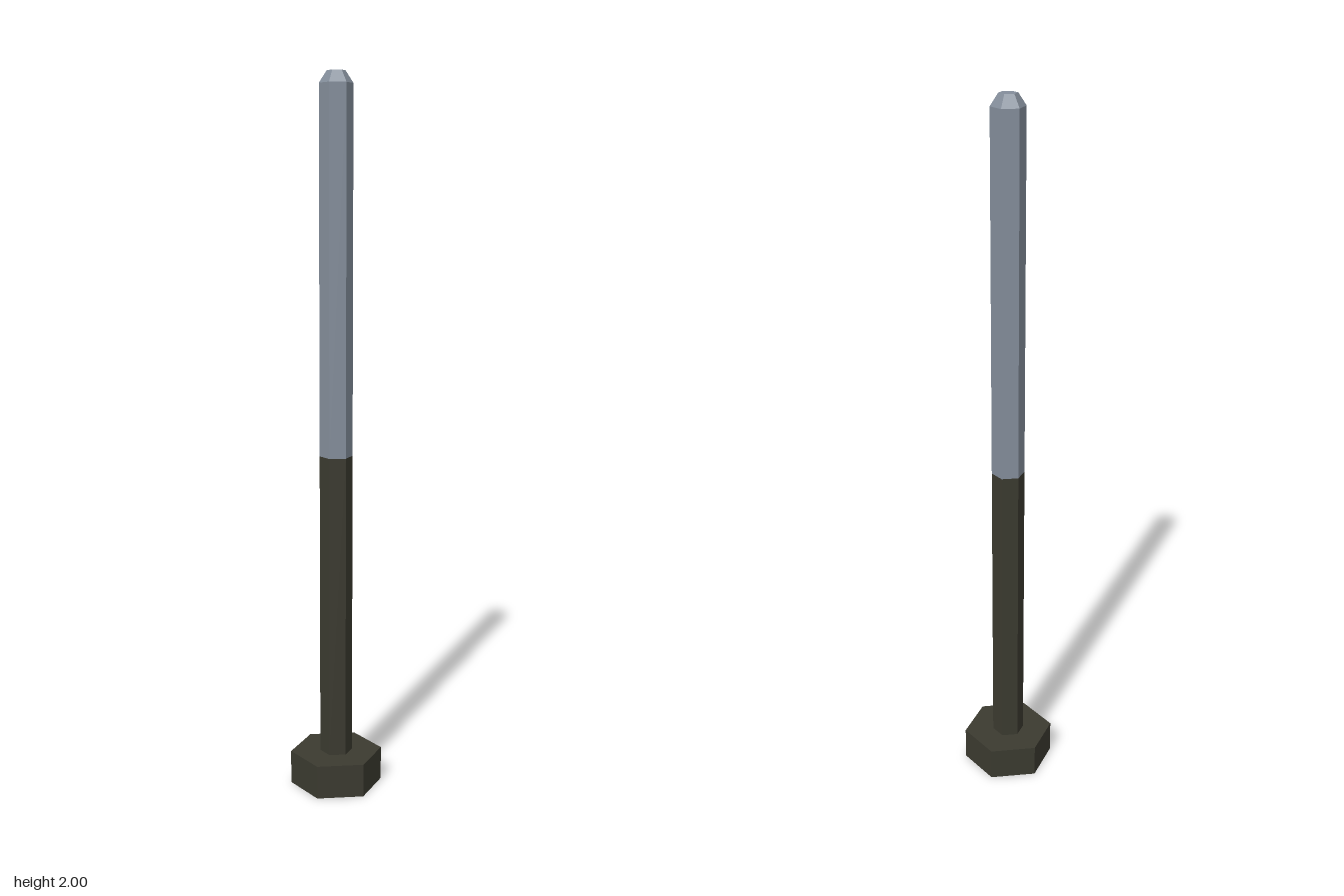
import * as THREE from 'three';

export function createModel() {
  const model = new THREE.Group();
  const darkCoating = new THREE.MeshStandardMaterial({ color: 0x3b3a30 });
  darkCoating.name = 'darkCoating';
  const blueSteel = new THREE.MeshStandardMaterial({ color: 0x848e9b });
  blueSteel.name = 'blueSteel';
  darkCoating.flatShading = blueSteel.flatShading = true;

  // Hexagonal prism between two heights, with corners on the x axis
  function hexPart(name, bottomRadius, topRadius, y0, y1, material, open = false) {
    const geometry = new THREE.CylinderGeometry(topRadius, bottomRadius, y1 - y0, 6, 1, open, Math.PI / 6);
    const mesh = new THREE.Mesh(geometry, material);
    mesh.name = name;
    mesh.position.y = (y0 + y1) / 2;
    model.add(mesh);
  }

  const headTop = 0.096, split = 0.965, chamfer = 1.968, shank = 0.046;
  hexPart('head', 0.131, 0.131, 0, headTop, darkCoating);
  hexPart('lowerShank', shank, shank, headTop, split, darkCoating, true);
  hexPart('upperShank', shank, shank, split, chamfer, blueSteel, true);
  hexPart('chamferedTip', shank, 0.025, chamfer, 2, blueSteel);

  return model;
}
